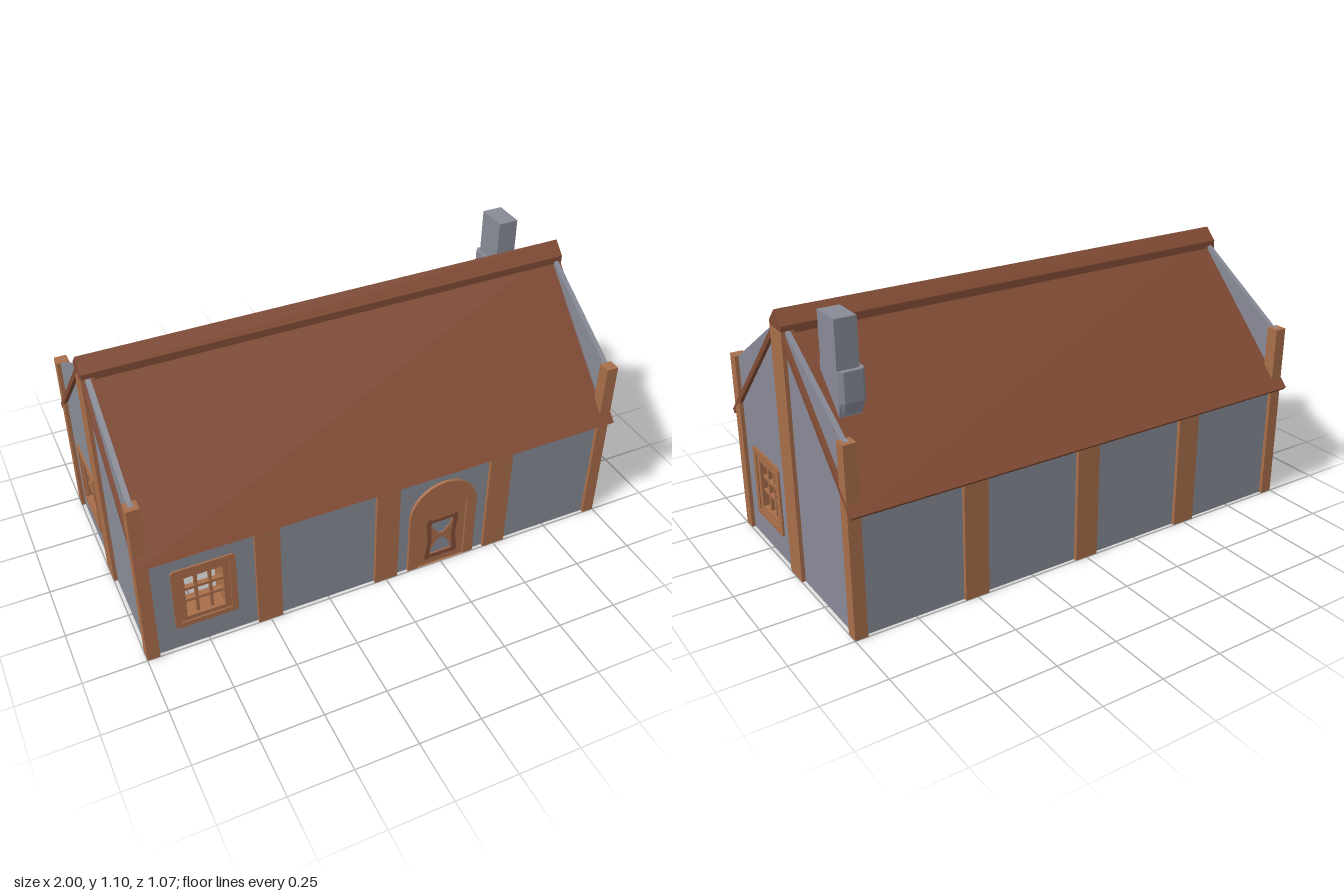
import * as THREE from 'three';

const material = (name, color) => {
  const m = new THREE.MeshStandardMaterial({ color });
  m.name = name;
  return m;
};

export function createModel() {
  const stone = material('stone', 0x888a96);
  const timber = material('timber', 0xa86e4a);
  const roofing = material('roofing', 0x824c35);
  const house = new THREE.Group();
  house.name = 'cottage';

  const add = (name, geometry, mat, parent = house) => {
    const mesh = new THREE.Mesh(geometry, mat);
    mesh.name = name;
    parent.add(mesh);
    return mesh;
  };
  // Box given by its limits on each axis
  const box = (name, [x0, x1], [y0, y1], [z0, z1], mat, parent) => {
    const g = new THREE.BoxGeometry(x1 - x0, y1 - y0, z1 - z0);
    g.translate((x0 + x1) / 2, (y0 + y1) / 2, (z0 + z1) / 2);
    return add(name, g, mat, parent);
  };
  const outline = (pts) => pts.map(([x, y]) => new THREE.Vector2(x, y));
  const polygon = (pts, holes = []) => {
    const s = new THREE.Shape(outline(pts));
    holes.forEach((h) => s.holes.push(new THREE.Path(outline(h))));
    return s;
  };
  const rect = (x0, x1, y0, y1) => [[x0, y0], [x1, y0], [x1, y1], [x0, y1]];
  // Extrude between two z positions
  const extrude = (shape, z0, z1) => new THREE.ExtrudeGeometry(shape,
    { depth: z1 - z0, bevelEnabled: false, curveSegments: 16 }).translate(0, 0, z0);
  // Cross-section of [z, y] points swept between two x positions
  const alongX = (pts, x0, x1, holes = []) => {
    const flip = (list) => list.map(([z, y]) => [-z, y]);
    return extrude(polygon(flip(pts), holes.map(flip)), x0, x1).rotateY(Math.PI / 2);
  };

  // Long walls
  add('frontWall', extrude(polygon(rect(-0.97, 0.97, 0, 0.51),
    [rect(-0.85, -0.65, 0.13, 0.375)]), 0.465, 0.485), stone);
  box('backWall', [-0.97, 0.97], [0, 0.51], [-0.485, -0.465], stone);

  // Gable walls, each with a window opening
  const gable = [[-0.48, 0], [0.48, 0], [0.48, 0.75], [0.45, 0.75], [0.05, 1],
    [-0.05, 1], [-0.45, 0.75], [-0.48, 0.75]];
  for (const side of [1, -1]) {
    const z = 0.25 * side;
    const x = 0.975 * side;
    add('gableWall', alongX(gable, x - 0.01, x + 0.01,
      [rect(z - 0.1, z + 0.1, 0.13, 0.375)]), stone);
  }

  // Timber posts
  for (const sx of [-0.975, 0.975]) {
    const xs = [sx - 0.025, sx + 0.025];
    for (const sz of [-0.475, 0.475]) {
      box('cornerPost', xs, [0, 0.75], [sz - 0.025, sz + 0.025], timber);
    }
    box('gablePost', xs, [0, 1], [-0.05, 0.05], timber);
  }
  for (const x of [-0.5, 0, 0.5]) {
    for (const z of [-0.475, 0.475]) {
      box('wallPost', [x - 0.05, x + 0.05], [0, 0.505], [z - 0.025, z + 0.025], timber);
    }
    box('tieBeam', [x - 0.012, x + 0.012], [0.48, 0.505], [-0.46, 0.46], timber);
  }

  // Roof and ridge cap
  add('roof', alongX([[0.535, 0.5], [0, 1.035], [-0.535, 0.5],
    [-0.52, 0.485], [0, 1.005], [0.52, 0.485]], -1, 1), roofing);
  add('ridgeCap', alongX([[0.05, 0.99], [0.05, 1.02], [0, 1.07],
    [-0.05, 1.02], [-0.05, 0.99], [0, 1.02]], -1, 1), roofing);

  // Chimney: stack with a chamfered collar that tapers in below
  box('chimneyStack', [0.825, 0.91], [0.7, 1.1], [-0.29, -0.16], stone);
  const collar = polygon([[0.825, 0.14], [0.895, 0.14], [0.91, 0.155], [0.91, 0.295],
    [0.895, 0.31], [0.825, 0.31], [0.81, 0.295], [0.81, 0.155]]);
  add('chimneyCollar', extrude(collar, 0.8, 0.915).rotateX(-Math.PI / 2), stone);
  const taper = extrude(collar, 0.75, 0.8).rotateX(-Math.PI / 2);
  const p = taper.attributes.position;
  for (let i = 0; i < p.count; i++) {
    if (p.getY(i) > 0.775) continue;
    p.setX(i, THREE.MathUtils.clamp(p.getX(i), 0.825, 0.91));
    p.setZ(i, THREE.MathUtils.clamp(p.getZ(i), -0.29, -0.16));
  }
  taper.computeVertexNormals();
  add('chimneyTaper', taper, stone);

  // Windows: deep casing, inner frame and glazing bars around open panes
  const addWindow = (x, z, turn) => {
    const w = new THREE.Group();
    w.name = 'window';
    const c = 0.01;
    const casing = [[-0.125 + c, 0.105], [0.125 - c, 0.105], [0.125, 0.105 + c],
      [0.125, 0.4 - c], [0.125 - c, 0.4], [-0.125 + c, 0.4], [-0.125, 0.4 - c], [-0.125, 0.105 + c]];
    add('windowCasing', extrude(polygon(casing, [rect(-0.1, 0.1, 0.13, 0.375)]), -0.13, -0.008), timber, w);
    add('windowFrame', extrude(polygon(rect(-0.1, 0.1, 0.13, 0.375),
      [rect(-0.075, 0.075, 0.15, 0.35)]), -0.12, -0.013), timber, w);
    for (const s of [-1, 1]) {
      const bx = s * 0.028;
      const by = 0.251 + s * 0.03;
      box('glazingBar', [bx - 0.006, bx + 0.006], [0.15, 0.35], [-0.04, -0.025], timber, w);
      box('glazingBar', [-0.075, 0.075], [by - 0.006, by + 0.006], [-0.042, -0.023], timber, w);
    }
    w.position.set(x, 0, z);
    w.rotation.y = turn;
    house.add(w);
  };
  addWindow(-0.75, 0.5, 0);
  addWindow(1, 0.25, Math.PI / 2);
  addWindow(-1, -0.25, -Math.PI / 2);

  // Arched door, with cut-outs that show the stone behind
  const door = new THREE.Group();
  door.name = 'door';
  door.position.x = 0.25;
  house.add(door);
  const arch = (r, Type) => {
    const s = new Type();
    s.moveTo(-r, 0);
    s.lineTo(r, 0);
    s.lineTo(r, 0.275);
    s.absarc(0, 0.275, r, 0, Math.PI, false);
    s.closePath();
    return s;
  };
  const surround = arch(0.15, THREE.Shape);
  surround.holes.push(arch(0.105, THREE.Path));
  add('doorSurround', extrude(surround, 0.44, 0.498), timber, door);
  const panel = arch(0.105, THREE.Shape);
  const cuts = [
    [[-0.05, 0.05], [0.05, 0.05], [0.04, 0.085], [0.012, 0.125], [-0.012, 0.125], [-0.04, 0.085]],
    [[-0.05, 0.225], [-0.04, 0.19], [-0.012, 0.152], [0.012, 0.152], [0.04, 0.19], [0.05, 0.225]],
  ];
  cuts.forEach((pts) => panel.holes.push(new THREE.Path(outline(pts))));
  add('doorPanel', extrude(panel, 0.455, 0.49), timber, door);

  // Dark trim around the cut-outs, waisted at the middle
  const half = [[0.05, 0.032], [0.065, 0.025], [0.075, 0.04], [0.068, 0.09], [0.062, 0.135],
    [0.068, 0.18], [0.072, 0.23], [0.062, 0.245], [0.05, 0.238]];
  const inner = [[0.045, 0.05], [0.052, 0.062], [0.045, 0.135], [0.052, 0.21], [0.045, 0.222]];
  const mirrored = (pts) => [...pts, ...pts.map(([x, y]) => [-x, y]).reverse()];
  const trim = polygon(mirrored(half), [mirrored(inner)]);
  add('doorTrim', extrude(trim, 0.489, 0.494), roofing, door);
  add('doorTrim', extrude(trim, 0.451, 0.456), roofing, door);

  return house;
}
